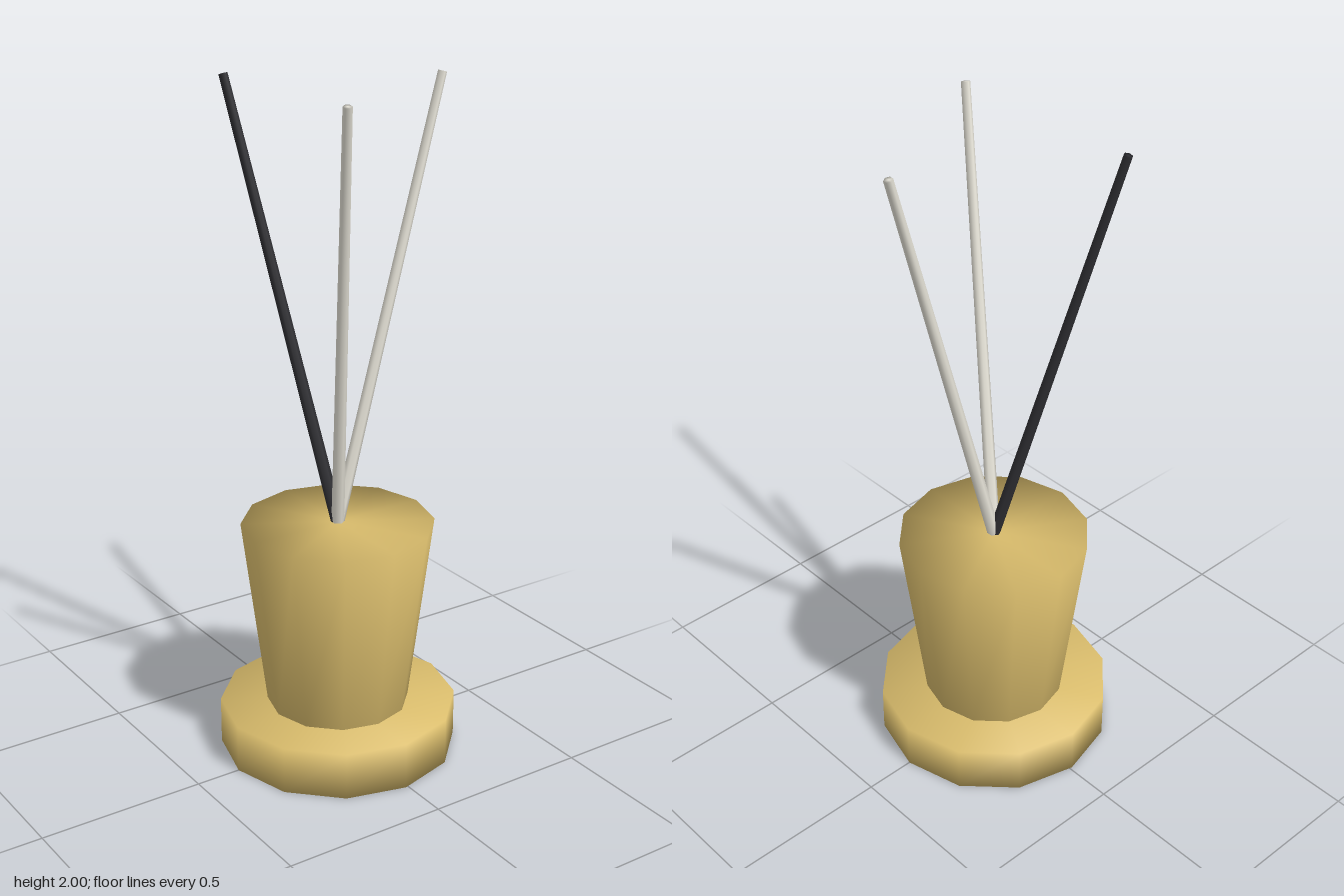
import * as THREE from 'three';
import { mergeVertices } from 'three/addons/utils/BufferGeometryUtils.js';

// Tapered prism with one smooth shading group running over its rims
function softCylinder(rTop, rBottom, height, sides) {
  const g = new THREE.CylinderGeometry(rTop, rBottom, height, sides);
  g.deleteAttribute('normal');
  g.deleteAttribute('uv');
  const merged = mergeVertices(g, 1e-4);
  merged.computeVertexNormals();
  return merged;
}

export function createModel() {
  const group = new THREE.Group();
  const gold = new THREE.MeshStandardMaterial({ color: 0xd9bc6c });
  const pale = new THREE.MeshStandardMaterial({ color: 0xe6e3d8 });
  const dark = new THREE.MeshStandardMaterial({ color: 0x2f2f33 });
  const cx = -0.008;

  const add = (name, geometry, material, y) => {
    const mesh = new THREE.Mesh(geometry, material);
    mesh.name = name;
    mesh.position.set(cx, y, 0);
    group.add(mesh);
    return mesh;
  };

  // Saucer and tapered pot
  add('saucer', softCylinder(0.355, 0.355, 0.143, 12), gold, 0.0715);
  add('pot', softCylinder(0.285, 0.213, 0.575, 12), gold, 0.43);

  // Three sticks fanning out from the middle of the pot top
  const up = new THREE.Vector3(0, 1, 0);
  const base = new THREE.Vector3(cx, 0.713, 0);
  const sticks = [['rightwardStick', 0, pale], ['frontStick', 120, pale], ['backStick', 240, dark]];
  sticks[0][0] = 'leftStick';
  for (const [name, degrees, material] of sticks) {
    const a = THREE.MathUtils.degToRad(degrees);
    const tip = new THREE.Vector3(cx + 0.352 * Math.cos(a), 1.996, 0.352 * Math.sin(a));
    const axis = tip.clone().sub(base);
    const stick = add(name, softCylinder(0.013, 0.019, axis.length(), 6), material, 0);
    stick.position.copy(base).lerp(tip, 0.5);
    stick.quaternion.setFromUnitVectors(up, axis.normalize());
  }
  return group;
}
